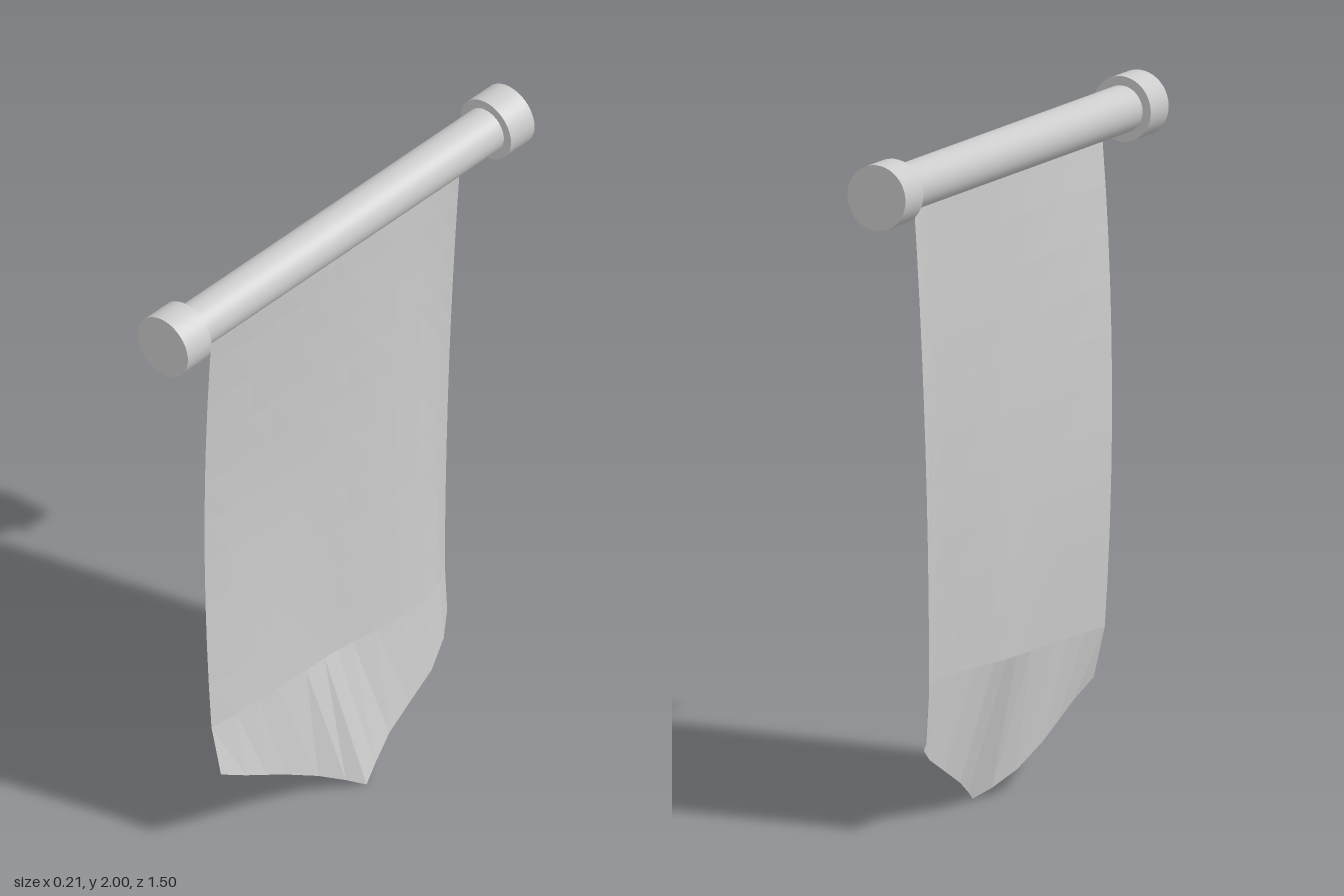
import * as THREE from 'three';

const POLE_X = -0.011, POLE_Y = 1.905;

// Cloth columns: [z, x at mid height, x just above the hem, x at the hem]
const COLUMNS = [
  [0.515, -0.052, -0.032, 0.004],
  [0.42, -0.045, -0.02, 0.015],
  [0.33, -0.04, -0.015, 0.016],
  [0.25, -0.036, -0.012, 0.018],
  [0.13, -0.03, -0.01, 0.035],
  [0.05, -0.025, -0.01, 0.07],
  [0, -0.022, -0.008, 0.105],
  [-0.06, -0.018, 0, 0.085],
  [-0.15, -0.01, 0.012, 0.06],
  [-0.25, -0.004, 0.022, 0.052],
  [-0.35, -0.004, 0.022, 0.045],
  [-0.44, -0.02, -0.005, 0.012],
  [-0.512, -0.047, -0.047, -0.038],
];
const TOP = 1.85, LOW = 0.42, ROWS = 10;

// Hanging cloth: even rows down to LOW, then one last row to the pointed hem
function clothGeometry() {
  const pos = [], index = [], n = COLUMNS.length;
  for (let r = 0; r <= ROWS + 1; r++) {
    for (const [z, mid, low, hem] of COLUMNS) {
      const t = r / ROWS;
      if (r > ROWS) {
        pos.push(hem, 0.525 * Math.abs(z), z);
        continue;
      }
      // quadratic sag through the top, middle and low points
      const m = 0.62;
      const x = -0.015 * (t - m) * (t - 1) / m
        + mid * t * (t - 1) / (m * (m - 1))
        + low * t * (t - m) / (1 - m);
      const spread = z > 0 ? 0.015 : 0.03;
      pos.push(x, TOP + (LOW - TOP) * t, z * (1 + (1 - t) * spread * 2));
    }
  }
  for (let r = 0; r <= ROWS; r++) {
    for (let c = 0; c < n - 1; c++) {
      const a = r * n + c, b = a + 1, d = a + n, e = d + 1;
      index.push(a, d, e, a, e, b);
    }
  }
  const g = new THREE.BufferGeometry();
  g.setAttribute('position', new THREE.Float32BufferAttribute(pos, 3));
  g.setIndex(index);
  g.computeVertexNormals();
  return g;
}

export function createModel() {
  const group = new THREE.Group();
  const grey = new THREE.MeshStandardMaterial({ color: 0xcccccc });
  const clothMaterial = new THREE.MeshStandardMaterial({
    color: 0xcccccc, flatShading: true, side: THREE.DoubleSide,
  });

  const addRod = (name, radius, length, z) => {
    const rod = new THREE.Mesh(new THREE.CylinderGeometry(radius, radius, length, 40), grey);
    rod.name = name;
    rod.rotation.x = Math.PI / 2;
    rod.position.set(POLE_X, POLE_Y, z);
    group.add(rod);
  };

  // Crossbar with a cap on each end
  addRod('crossbar', 0.069, 1.34, 0);
  addRod('frontCap', 0.096, 0.102, 0.699);
  addRod('backCap', 0.096, 0.102, -0.699);

  // Banner
  const cloth = new THREE.Mesh(clothGeometry(), clothMaterial);
  cloth.name = 'bannerCloth';
  group.add(cloth);

  return group;
}
